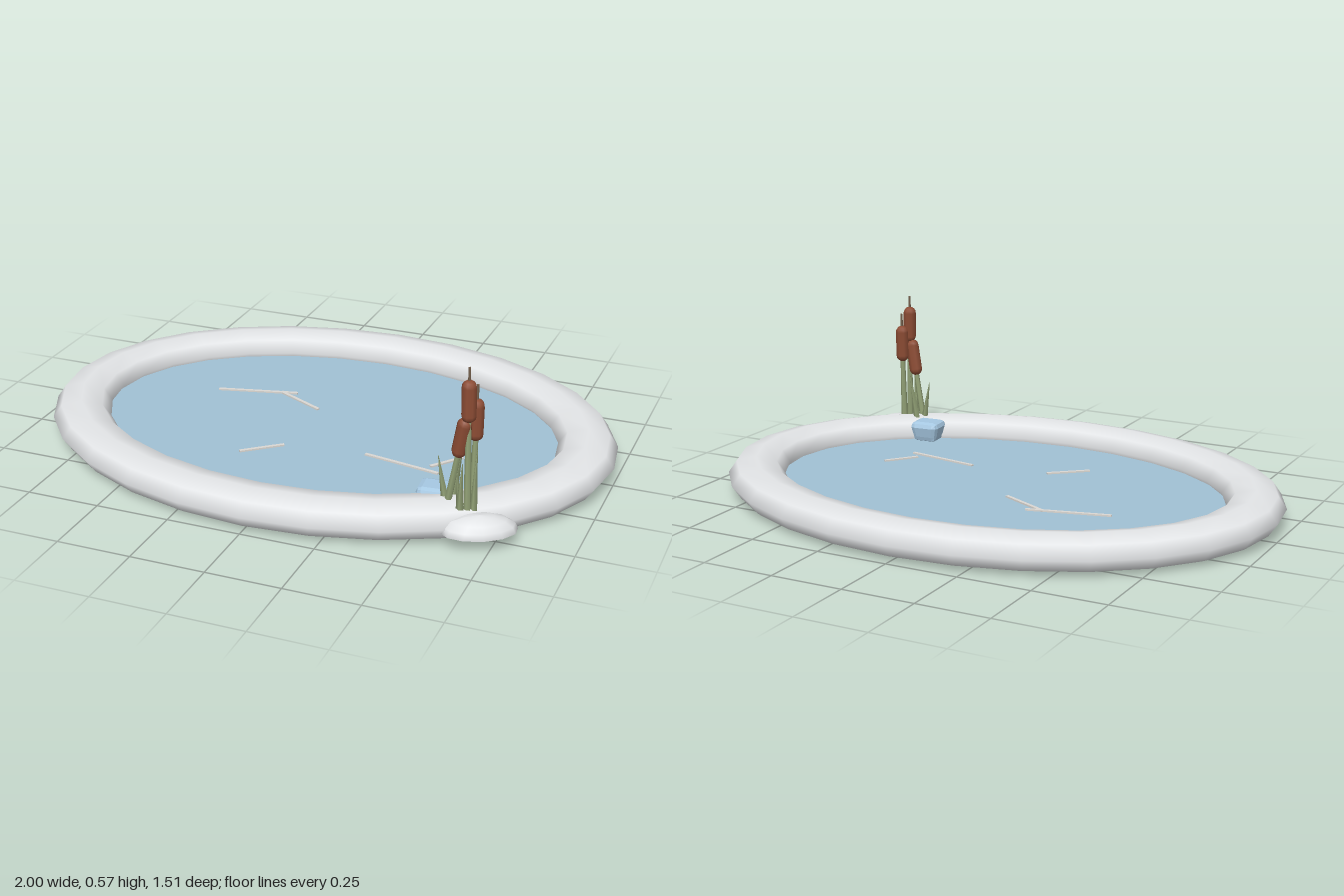
import * as THREE from 'three';
import { mergeVertices } from 'three/addons/utils/BufferGeometryUtils.js';
import { RoundedBoxGeometry } from 'three/addons/geometries/RoundedBoxGeometry.js';

const material = (name, color, extra = {}) => Object.assign(new THREE.MeshStandardMaterial({ color, ...extra }), { name });
const V = (a) => new THREE.Vector3(...a);

export function createModel() {
  const snow = material('snow', 0xe2e4e6);
  const ice = material('ice', 0xa0c0d4);
  const block = material('ice block', 0xa6c8e2, { flatShading: true });
  const scratch = material('scratch', 0xdad7d2);
  const brown = material('cattail brown', 0x8c4c34);
  const green = material('reed green', 0x93a277);
  const dry = material('dry tip', 0x75604c);

  const group = new THREE.Group();
  const add = (name, geometry, mat, parent = group) => {
    const mesh = new THREE.Mesh(geometry, mat);
    mesh.name = name;
    parent.add(mesh);
    return mesh;
  };
  // Tapered rod between two points
  const aim = (mesh, a, b) => {
    mesh.position.copy(a).add(b).multiplyScalar(0.5);
    mesh.quaternion.setFromUnitVectors(new THREE.Vector3(0, 1, 0), b.clone().sub(a).normalize());
    return mesh;
  };
  const rod = (name, a, b, r0, r1, mat, sides, parent) =>
    aim(add(name, new THREE.CylinderGeometry(r1, r0, a.distanceTo(b), sides), mat, parent), a, b);

  // Oval snow bank: a torus with its centre line squeezed and its tube flattened
  let bank = new THREE.TorusGeometry(0.9, 0.1, 8, 28).rotateX(-Math.PI / 2);
  const p = bank.attributes.position;
  for (let i = 0; i < p.count; i++) {
    const rho = Math.hypot(p.getX(i), p.getZ(i));
    const off = rho - 0.9;
    p.setXYZ(i, p.getX(i), p.getY(i) * 0.6 + 0.06, (p.getZ(i) / rho) * (0.657 + off));
  }
  bank.deleteAttribute('uv');
  bank.deleteAttribute('normal');
  bank = mergeVertices(bank, 1e-5);
  bank.computeVertexNormals();
  add('snowBank', bank, snow);

  // Frozen pond surface
  const sheet = add('iceSheet', new THREE.CylinderGeometry(1, 1, 0.015, 28), ice);
  sheet.scale.set(0.84, 1, 0.6);
  sheet.position.y = 0.038;

  // Scratches on the ice: x and z of both ends
  [
    [-0.48, -0.125, -0.2, -0.195], [-0.26, -0.185, -0.08, -0.095],
    [0.2, 0.175, 0.47, 0.22], [0.43, 0.18, 0.51, 0.08], [-0.2, 0.31, -0.08, 0.21],
  ].forEach(([x0, z0, x1, z1]) => {
    const m = add('scratch', new THREE.BoxGeometry(Math.hypot(x1 - x0, z1 - z0), 0.006, 0.012), scratch);
    m.position.set((x0 + x1) / 2, 0.048, (z0 + z1) / 2);
    m.rotation.y = -Math.atan2(z1 - z0, x1 - x0);
  });

  // Chipped ice block, narrower towards its foot
  const cube = new RoundedBoxGeometry(0.11, 0.075, 0.1, 1, 0.02);
  const c = cube.attributes.position;
  for (let i = 0; i < c.count; i++) {
    const s = c.getY(i) < 0 ? 0.85 : 1;
    c.setXYZ(i, c.getX(i) * s, c.getY(i), c.getZ(i) * s);
  }
  cube.computeVertexNormals();
  const chunk = add('iceBlock', cube, block);
  chunk.position.set(0.525, 0.08, 0.42);
  chunk.rotation.y = 0.08;

  // Low snow mound outside the bank, closed underneath
  const mound = new THREE.SphereGeometry(1, 12, 8);
  const q = mound.attributes.position;
  for (let i = 0; i < q.count; i++) q.setY(i, Math.max(q.getY(i), 0));
  mound.computeVertexNormals();
  const heap = add('snowMound', mound, snow);
  heap.scale.set(0.122, 0.053, 0.072);
  heap.rotation.y = 0.5;
  heap.position.set(0.705, 0.045, 0.53);

  // Cattails: foot, tip, and height of the seed head's centre
  const reeds = new THREE.Group();
  reeds.name = 'cattails';
  group.add(reeds);
  [
    [[0.66, 0.1, 0.515], [0.65, 0.57, 0.505], 0.46],
    [[0.667, 0.1, 0.485], [0.669, 0.505, 0.475], 0.39],
    [[0.59, 0.1, 0.495], [0.65, 0.43, 0.508], 0.335],
  ].forEach(([foot, tip, headY]) => {
    const a = V(foot), b = V(tip);
    const at = (y) => a.clone().lerp(b, (y - a.y) / (b.y - a.y));
    rod('stem', a, at(headY), 0.012, 0.008, green, 6, reeds);
    rod('tip', at(headY), b, 0.005, 0.004, dry, 6, reeds);
    const head = add('seedHead', new THREE.CapsuleGeometry(0.024, 0.09, 4, 8), brown, reeds);
    aim(head, at(headY - 0.05), at(headY + 0.05));
  });

  // Pointed leaf blades: foot and tip
  [
    [[0.578, 0.11, 0.485], [0.552, 0.25, 0.48]], [[0.598, 0.11, 0.46], [0.622, 0.28, 0.455]],
    [[0.64, 0.1, 0.53], [0.645, 0.26, 0.528]], [[0.678, 0.1, 0.51], [0.682, 0.3, 0.5]],
    [[0.635, 0.1, 0.505], [0.625, 0.22, 0.52]],
  ].forEach(([foot, tip]) => {
    const blade = rod('leafBlade', V(foot), V(tip), 0.013, 0.001, green, 4, reeds);
    blade.scale.z = 0.5;
  });

  return group;
}
